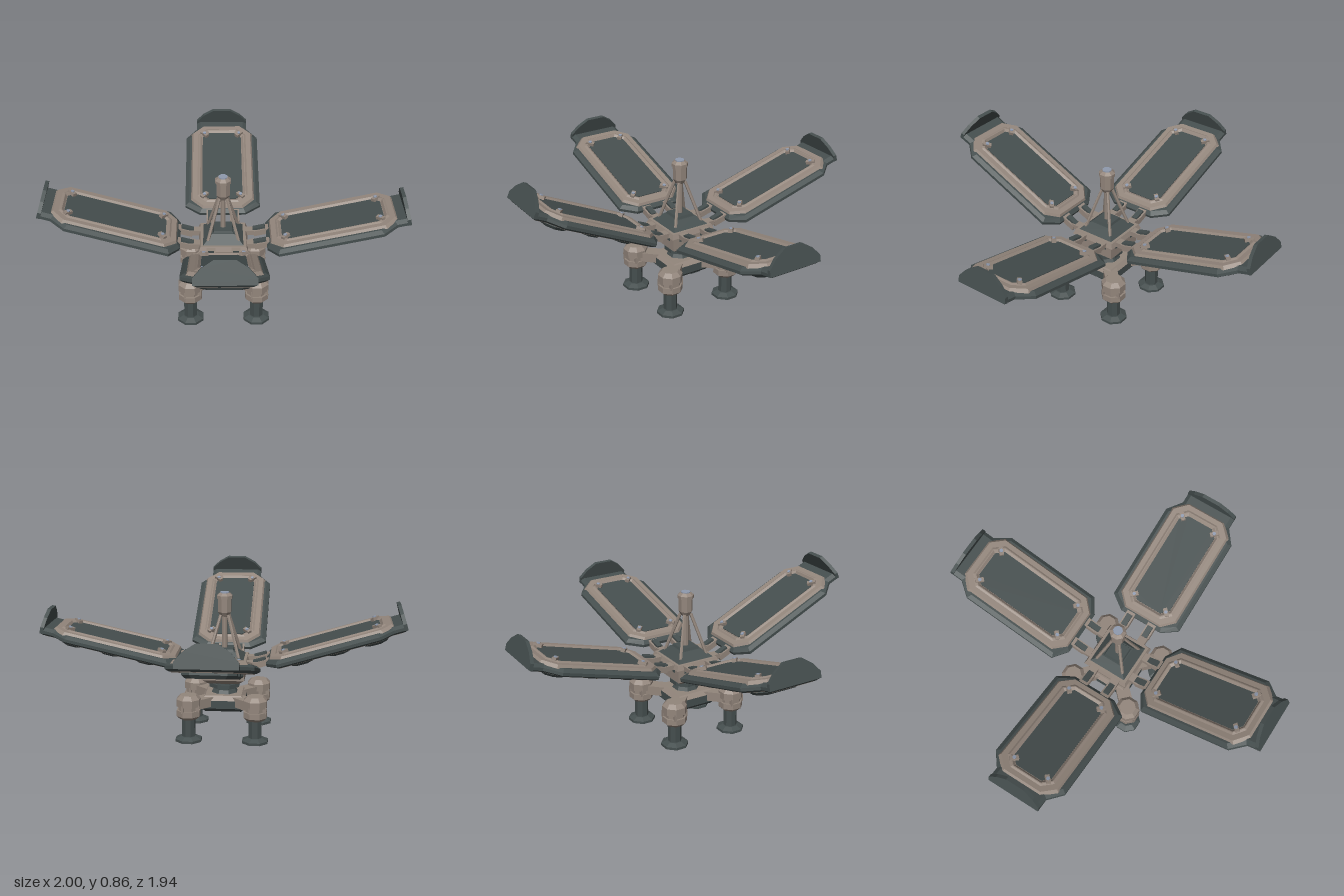
import * as THREE from 'three';

const mat = (name, color) => Object.assign(new THREE.MeshStandardMaterial({ color }), { name });
const taupe = mat('taupe metal', 0x93867c);
const dark = mat('dark slate', 0x454e4e);
const steel = mat('blue steel', 0x8f9aae);

function add(parent, name, geo, material, x = 0, y = 0, z = 0) {
  const g = geo.index ? geo.toNonIndexed() : geo;
  g.computeVertexNormals();
  const m = new THREE.Mesh(g, material);
  m.name = name;
  m.position.set(x, y, z);
  parent.add(m);
  return m;
}

// Flat-sided prism or frustum between two heights; r is the distance to a flat side
function prism(sides, rTop, rBottom, y0, y1) {
  const k = 1 / Math.cos(Math.PI / sides);
  return new THREE.CylinderGeometry(rTop * k, rBottom * k, y1 - y0, sides)
    .rotateY(Math.PI / sides).translate(0, (y0 + y1) / 2, 0);
}

const box = (x0, x1, y0, y1, z0, z1) => new THREE.BoxGeometry(x1 - x0, y1 - y0, z1 - z0)
  .translate((x0 + x1) / 2, (y0 + y1) / 2, (z0 + z1) / 2);

// Joins stacked outlines, each an array of [x, z] running counter-clockwise from above
function loft(layers, capBottom = true, capTop = true) {
  const v = [];
  const rings = layers.map(([pts, y]) => pts.map(([x, z]) => [x, y, z]));
  const n = rings[0].length;
  for (let k = 0; k + 1 < rings.length; k++) {
    for (let i = 0; i < n; i++) {
      const j = (i + 1) % n, a = rings[k], b = rings[k + 1];
      v.push(...a[i], ...a[j], ...b[j], ...a[i], ...b[j], ...b[i]);
    }
  }
  const lo = rings[0], hi = rings[rings.length - 1];
  for (let i = 1; i + 1 < n; i++) {
    if (capBottom) v.push(...lo[0], ...lo[i + 1], ...lo[i]);
    if (capTop) v.push(...hi[0], ...hi[i], ...hi[i + 1]);
  }
  const g = new THREE.BufferGeometry();
  g.setAttribute('position', new THREE.Float32BufferAttribute(v, 3));
  return g;
}

// Symmetric outline from [x, halfWidth] stations
function outline(stations) {
  const near = stations.map(([x, w]) => [x, w]);
  const far = stations.map(([x, w]) => [x, -w]).reverse();
  return [...near, ...far];
}
const octagon = (x0, x1, hw, c, end = hw - c) =>
  outline([[x0, end], [x0 + c, hw], [x1 - c, hw], [x1, end]]);

// Panel outlines shrunk by an inset
const slabShape = (i) => outline([[0.04 + i, 0.13 - i * 0.5], [0.1 + i * 0.5, 0.215 - i],
  [0.67 - i * 0.5, 0.215 - i], [0.75 - i * 0.5, 0.152 - i], [0.825 - i, 0.152 - i]]);
const frameShape = (i) => octagon(0.03 + i, 0.79 - i, 0.215 - i, 0.08 - i * 0.4);

function makePanel() {
  const p = new THREE.Group();
  add(p, 'panelSlab', loft([[slabShape(0.02), 0], [slabShape(0), 0.012],
    [slabShape(0), 0.028], [slabShape(0.022), 0.043]]), dark);
  add(p, 'panelUnderside', loft([[slabShape(0.03), -0.004], [slabShape(0.026), 0.002]]), taupe);
  // raised frame stepping down to the inner face
  add(p, 'panelFrame', loft([[frameShape(0.03), 0.038], [frameShape(0.042), 0.056],
    [frameShape(0.07), 0.056], [frameShape(0.08), 0.062], [frameShape(0.085), 0.062],
    [frameShape(0.098), 0.05]], false, true), taupe);
  add(p, 'panelFace', loft([[octagon(0.13, 0.69, 0.116, 0.04), 0.048],
    [octagon(0.13, 0.69, 0.116, 0.04), 0.054]]), dark);
  // corner fasteners
  for (const x of [0.15, 0.67]) for (const s of [-1, 1]) {
    const f = add(p, 'cornerBracket', box(-0.024, 0.024, 0.05, 0.072, -0.012, 0.012), taupe, x, 0, s * 0.104);
    f.rotation.y = (x < 0.4 ? 1 : -1) * s * Math.PI / 4;
    add(p, 'cornerBolt', prism(6, 0.009, 0.009, 0.07, 0.077), steel, x, 0, s * 0.104);
  }
  // pads beneath
  for (const x of [0.23, 0.435, 0.64]) {
    add(p, 'undersidePad', loft([[octagon(x - 0.06, x + 0.06, 0.115, 0.035), -0.032],
      [octagon(x - 0.078, x + 0.078, 0.133, 0.042), -0.015],
      [octagon(x - 0.078, x + 0.078, 0.133, 0.042), 0]]), dark);
  }
  // upturned end lip
  const lip = new THREE.Shape([[-0.152, 0.01], [0.152, 0.01], [0.152, 0.045], [0.11, 0.092],
    [0.052, 0.13], [-0.052, 0.13], [-0.11, 0.092], [-0.152, 0.045]].map((q) => new THREE.Vector2(...q)));
  add(p, 'endLip', new THREE.ExtrudeGeometry(lip, { depth: 0.02, bevelEnabled: false })
    .rotateY(Math.PI / 2), dark, 0.805);
  for (const s of [-1, 1]) {
    add(p, 'hingeProng', box(-0.03, 0.08, 0.008, 0.04, s * 0.068 - 0.026, s * 0.068 + 0.026), taupe);
    add(p, 'hingeKnuckle', box(-0.03, 0.04, 0.015, 0.052, s * 0.068 - 0.016, s * 0.068 + 0.016), dark);
  }
  return p;
}

function makeLeg() {
  const leg = new THREE.Group();
  leg.name = 'leg';
  add(leg, 'foot', prism(8, 0.07, 0.07, 0, 0.014), dark);
  add(leg, 'footBevel', prism(8, 0.042, 0.07, 0.014, 0.028), dark);
  add(leg, 'legColumn', prism(8, 0.035, 0.035, 0.02, 0.15), dark);
  add(leg, 'legLowerBevel', prism(8, 0.063, 0.046, 0.128, 0.145), taupe);
  add(leg, 'legLowerSleeve', prism(8, 0.063, 0.063, 0.145, 0.178), taupe);
  add(leg, 'legGroove', prism(8, 0.053, 0.053, 0.178, 0.2), taupe);
  add(leg, 'legUpperSleeve', prism(8, 0.063, 0.063, 0.2, 0.24), taupe);
  add(leg, 'legCap', prism(8, 0.043, 0.063, 0.24, 0.262), taupe);
  // side straps across the groove
  for (let i = 0; i < 4; i++) {
    add(leg, 'legStrap', box(0.04, 0.061, 0.17, 0.21, 0.022, 0.034), taupe).rotation.y = i * Math.PI / 2;
  }
  return leg;
}

function strut(parent, name, a, b, r, material) {
  const from = new THREE.Vector3(...a), to = new THREE.Vector3(...b);
  const d = to.clone().sub(from);
  const m = add(parent, name, new THREE.CylinderGeometry(r, r, d.length(), 6), material);
  m.position.copy(from).addScaledVector(d, 0.5);
  m.quaternion.setFromUnitVectors(new THREE.Vector3(0, 1, 0), d.normalize());
}

export function createModel() {
  const model = new THREE.Group();
  model.name = 'panelStation';
  const core = new THREE.Group();
  core.name = 'core';
  core.position.set(-0.012, 0, 0.018);
  model.add(core);

  // base and neck
  add(core, 'baseBottom', prism(4, 0.12, 0.1, 0.145, 0.165), dark);
  add(core, 'baseBlock', prism(4, 0.12, 0.12, 0.165, 0.21), dark);
  add(core, 'baseTop', prism(4, 0.1, 0.12, 0.21, 0.235), taupe);
  add(core, 'neckLower', prism(8, 0.06, 0.075, 0.225, 0.255), dark);
  add(core, 'neckStem', prism(8, 0.055, 0.055, 0.25, 0.28), dark);
  add(core, 'neckCollar', prism(8, 0.082, 0.082, 0.268, 0.29), dark);
  add(core, 'neckTop', prism(8, 0.07, 0.07, 0.285, 0.305), dark);

  // hub body
  add(core, 'hubBevel', prism(4, 0.115, 0.08, 0.298, 0.325), taupe);
  add(core, 'hubBody', prism(4, 0.117, 0.117, 0.325, 0.42), taupe);
  add(core, 'hubRim', prism(4, 0.125, 0.135, 0.405, 0.432), taupe);
  add(core, 'hubRoof', prism(4, 0.062, 0.112, 0.43, 0.475), dark);
  add(core, 'hubRoofCap', prism(4, 0.05, 0.055, 0.475, 0.488), dark);

  // mast and its head
  add(core, 'mast', prism(8, 0.014, 0.014, 0.48, 0.7), taupe);
  add(core, 'mastHeadBevel', prism(8, 0.036, 0.022, 0.665, 0.69), taupe);
  add(core, 'mastHead', prism(8, 0.036, 0.036, 0.69, 0.765), taupe);
  add(core, 'mastHeadBrim', prism(8, 0.042, 0.042, 0.765, 0.782), taupe);
  add(core, 'mastHeadTop', prism(8, 0.026, 0.042, 0.782, 0.796), taupe);
  add(core, 'mastLamp', prism(8, 0.024, 0.024, 0.794, 0.801), steel);

  for (let i = 0; i < 4; i++) {
    const side = new THREE.Group();
    side.name = 'quarter';
    side.rotation.y = i * Math.PI / 2;
    core.add(side);
    // hinge brackets on the hub
    for (const s of [-1, 1]) {
      add(side, 'hubBracket', box(0.11, 0.205, 0.4, 0.428, s * 0.068 - 0.024, s * 0.068 + 0.024), taupe);
      add(side, 'hubSlot', box(0.112, 0.12, 0.375, 0.41, s * 0.068 - 0.012, s * 0.068 + 0.012), dark);
    }
    // leg on each diagonal, with its arm
    const leg = makeLeg();
    leg.position.set(0.183, 0, 0.183);
    side.add(leg);
    add(side, 'legArm', box(0.1, 0.24, 0.175, 0.228, -0.038, 0.038), taupe).rotation.y = -Math.PI / 4;
    // mast stay
    strut(side, 'mastStay', [0.085, 0.44, 0.085], [0.02, 0.675, 0.02], 0.009, taupe);
  }

  // four folding panels, each at its own tilt: left, back, right, front
  [12.6, 15.6, 16.7, 25.4].forEach((tilt, i) => {
    const arm = new THREE.Group();
    arm.name = ['leftPanel', 'backPanel', 'rightPanel', 'frontPanel'][i];
    arm.rotation.y = i * Math.PI / 2;
    const panel = makePanel();
    panel.name = 'tiltedPanel';
    panel.position.set(0.205, 0.392, 0);
    panel.rotation.z = THREE.MathUtils.degToRad(tilt);
    arm.add(panel);
    core.add(arm);
  });
  return model;
}
